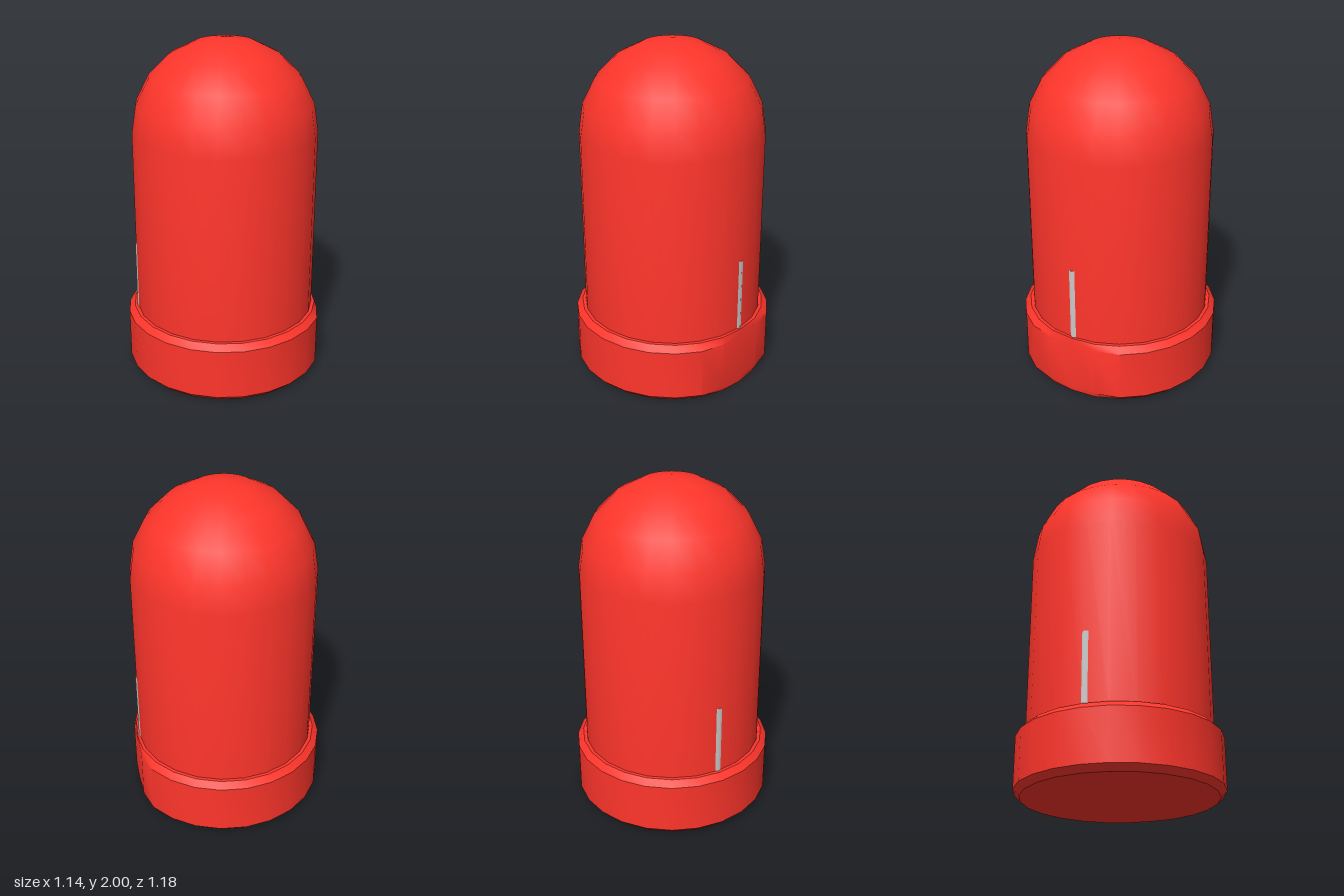
import * as THREE from 'three';
import { toCreasedNormals } from 'three/addons/utils/BufferGeometryUtils.js';

const SIDES = 24;
const AXIS_X = 0.02; // the round parts sit off centre because one side of the collar is cut flat
const FLAT_X = 0.57;

const red = new THREE.MeshStandardMaterial({ color: 0xff352b });
const grey = new THREE.MeshStandardMaterial({ color: 0xcccccc });

// Turned solid around the shared axis, from [radius, height] pairs
function turned(profile) {
  const points = profile.map(([r, y]) => new THREE.Vector2(r, y));
  return new THREE.LatheGeometry(points, SIDES).translate(AXIS_X, 0, 0);
}

function addPart(group, name, geometry, material) {
  const mesh = new THREE.Mesh(geometry, material);
  mesh.name = name;
  group.add(mesh);
}

export function createModel() {
  const group = new THREE.Group();
  group.name = 'lightEmittingDiode';

  // Bevelled collar, flattened on its +x side
  const collar = turned([[0, 0], [0.555, 0], [0.59, 0.035], [0.59, 0.335], [0.555, 0.37], [0, 0.37]]);
  const pos = collar.attributes.position;
  for (let i = 0; i < pos.count; i++) pos.setX(i, Math.min(pos.getX(i), FLAT_X));
  addPart(group, 'collar', toCreasedNormals(collar, 0.55), red);

  // Cylindrical lens body ending in a hemispherical dome
  const radius = 0.535, domeBase = 1.465, steps = 5;
  const profile = [[radius, 0.3]];
  for (let i = 0; i <= steps; i++) {
    const a = (i / steps) * Math.PI / 2;
    profile.push([i === steps ? 0 : radius * Math.cos(a), domeBase + radius * Math.sin(a)]);
  }
  addPart(group, 'lens', toCreasedNormals(turned(profile), 0.7), red);

  // Two metal leads whose outer edges just break through the lens wall
  for (const [side, name, top] of [[1, 'leftLead', 0.81], [-1, 'rightLead', 0.79]]) {
    const lead = new THREE.CylinderGeometry(0.07, 0.07, top - 0.01, 8);
    lead.translate(AXIS_X + side * 0.47, (top + 0.01) / 2, 0);
    addPart(group, name, lead, grey);
  }

  return group;
}
